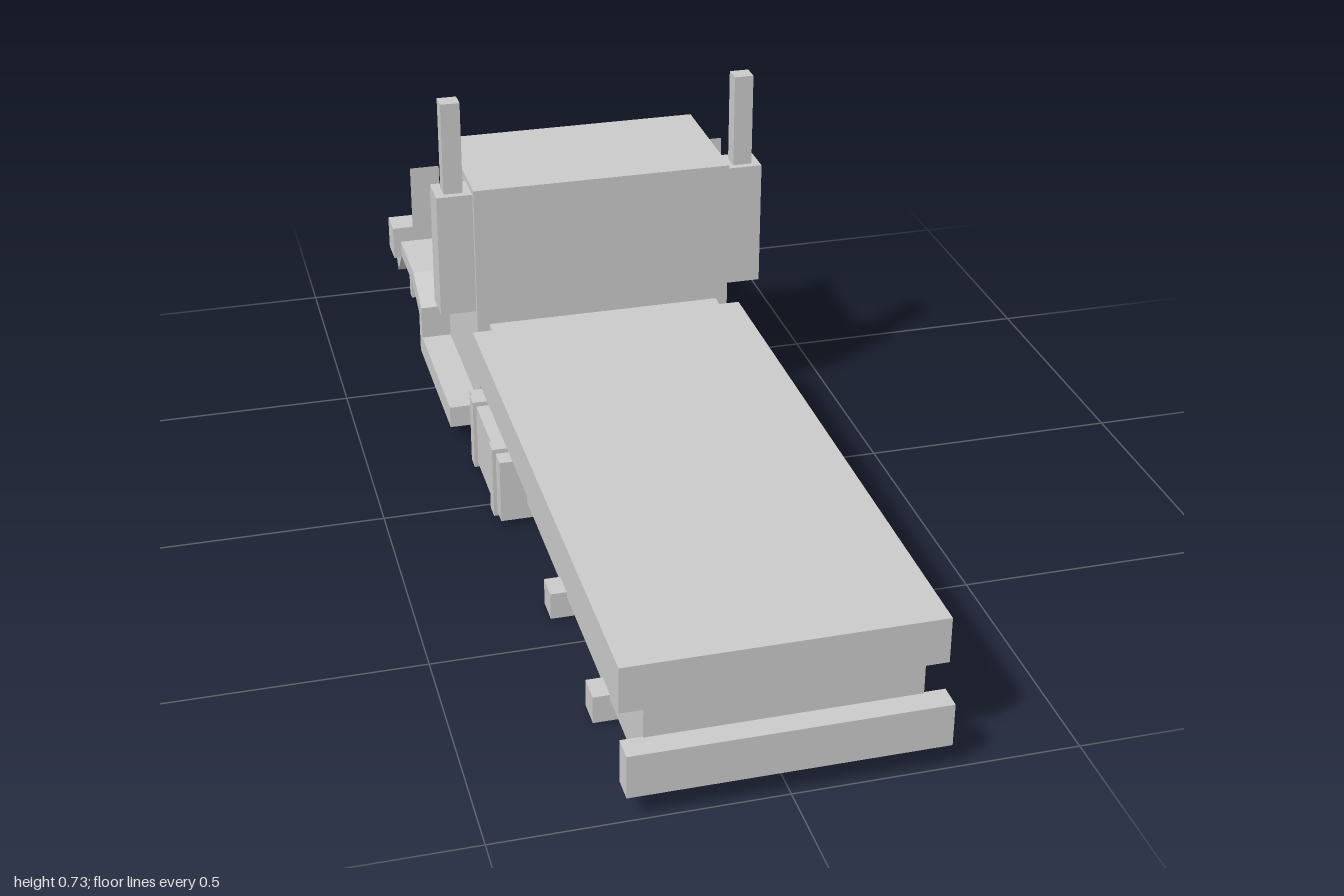
import * as THREE from 'three';

const material = new THREE.MeshStandardMaterial({ color: 0xcccccc, flatShading: true });

export function createModel() {
  const truck = new THREE.Group();
  truck.name = 'flatbedTruck';

  const add = (name, geometry) => {
    const mesh = new THREE.Mesh(geometry, material);
    mesh.name = name;
    truck.add(mesh);
    return mesh;
  };

  // Box given by its limits on each axis
  const box = (name, x0, x1, y0, y1, z0, z1) =>
    add(name, new THREE.BoxGeometry(Math.abs(x1 - x0), y1 - y0, Math.abs(z1 - z0))
      .translate((x0 + x1) / 2, (y0 + y1) / 2, (z0 + z1) / 2));

  // Side profile of [distance forward, height] points, extruded across x
  const sideProfile = (points, centre, width) => {
    const shape = new THREE.Shape(points.map(([a, y]) => new THREE.Vector2(a, y)));
    return new THREE.ExtrudeGeometry(shape, { depth: width, bevelEnabled: false })
      .translate(0, 0, -width / 2).rotateY(Math.PI / 2).translate(centre, 0, 0);
  };

  // Flat bed, chassis and rear bumper
  box('flatBed', -0.275, 0.275, 0.18, 0.265, -0.22, 0.96);
  box('chassis', -0.235, 0.235, 0.045, 0.264, -0.26, 0.958);
  box('rearBumper', -0.273, 0.273, 0.045, 0.125, 0.955, 1);

  // Axle beams
  for (const z of [0.715, 0.395, -0.755]) {
    box('axle', -0.265, 0.265, 0.003, 0.055, z - 0.026, z + 0.026);
  }

  // Cab with sloping windscreen
  add('cab', sideProfile(
    [[0.25, 0.07], [0.615, 0.07], [0.615, 0.33], [0.535, 0.555], [0.25, 0.555]], 0, 0.518));

  // Hood, narrowing towards the nose
  const hood = sideProfile(
    [[0.615, 0.045], [0.845, 0.045], [0.845, 0.15], [0.905, 0.15], [0.905, 0],
      [0.945, 0], [0.945, 0.33], [0.615, 0.33]], 0, 0.518);
  const p = hood.attributes.position;
  for (let i = 0; i < p.count; i++) {
    const t = (-p.getZ(i) - 0.615) / 0.33;
    p.setX(i, p.getX(i) * (1 - 0.2 * t));
  }
  hood.computeVertexNormals();
  add('hood', hood);

  // Floor slab forming both running boards
  box('runningBoards', -0.32, 0.32, 0.035, 0.08, -0.615, -0.26);

  // Front bumper with swept-back ends
  const plan = new THREE.Shape([[-0.285, 0.945], [0.285, 0.945], [0.285, 0.967],
    [0.205, 1], [-0.205, 1], [-0.285, 0.967]].map(([x, y]) => new THREE.Vector2(x, y)));
  add('frontBumper', new THREE.ExtrudeGeometry(plan, { depth: 0.1, bevelEnabled: false })
    .rotateX(-Math.PI / 2));

  for (const s of [1, -1]) {
    // Angular fender strip
    add('fender', sideProfile(
      [[0.583, 0.035], [0.615, 0.035], [0.615, 0.125], [0.69, 0.16], [0.835, 0.16],
        [0.892, 0.1], [0.917, 0.128], [0.85, 0.193], [0.674, 0.193], [0.583, 0.15]],
      s * 0.26, 0.12));

    box('headlight', s * 0.2, s * 0.336, 0.155, 0.226, -0.903, -0.838);

    // Exhaust stack
    box('exhaustHousing', s * 0.25, s * 0.33, 0.29, 0.543, -0.333, -0.262);
    box('exhaustPipe', s * 0.275, s * 0.313, 0.543, 0.73, -0.312, -0.276);

    // Fuel tank with two straps
    box('fuelTank', s * 0.22, s * 0.286, 0.01, 0.138, -0.217, 0.083);
    for (const z of [0.03, -0.163]) {
      box('tankStrap', s * 0.21, s * 0.293, 0.001, 0.147, z - 0.016, z + 0.016);
    }

    // Mirror: a block whose forward face is smaller
    const mirror = new THREE.BoxGeometry(0.06, 0.15, 0.024);
    const m = mirror.attributes.position;
    for (let i = 0; i < m.count; i++) {
      if (m.getZ(i) < 0) m.setXY(i, m.getX(i) * 0.55, m.getY(i) * 0.84);
    }
    mirror.computeVertexNormals();
    add('mirror', mirror).position.set(s * 0.304, 0.41, -0.57);
  }
  return truck;
}
